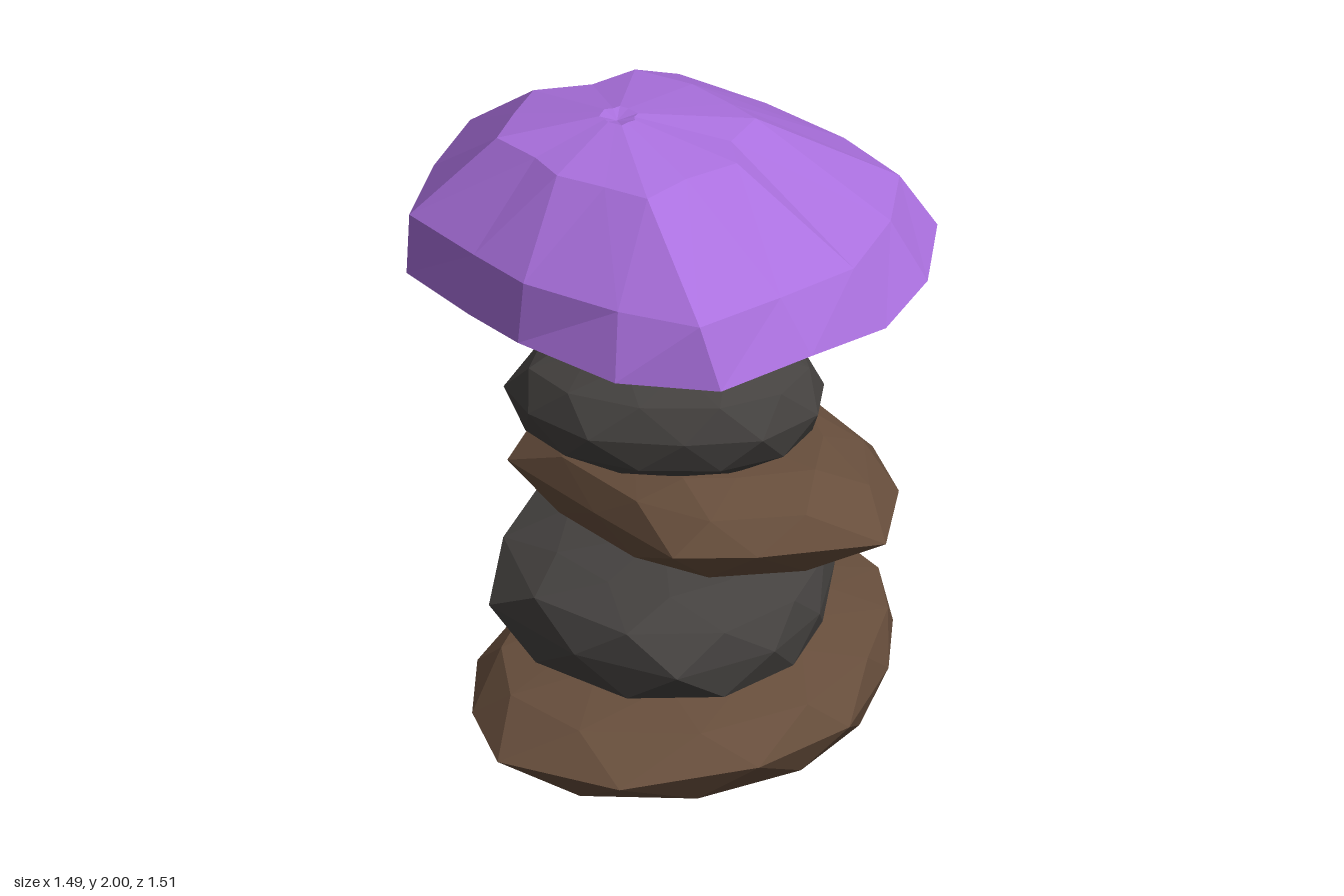
import * as THREE from 'three';

const mat = (name, color) => Object.assign(new THREE.MeshStandardMaterial({ color }), { name });

// Faceted skin through rings of equal point count (listed bottom to top);
// triangles collapsed at a pole are dropped.
function loft(rings) {
  const pos = [];
  const tri = (a, b, c) => {
    if (a.distanceTo(b) < 1e-6 || b.distanceTo(c) < 1e-6 || c.distanceTo(a) < 1e-6) return;
    pos.push(...a.toArray(), ...b.toArray(), ...c.toArray());
  };
  for (let k = 0; k < rings.length - 1; k++) {
    const a = rings[k], b = rings[k + 1], n = a.length;
    for (let i = 0; i < n; i++) {
      const j = (i + 1) % n;
      tri(a[i], b[i], a[j]);
      tri(b[i], b[j], a[j]);
    }
  }
  const geo = new THREE.BufferGeometry();
  geo.setAttribute('position', new THREE.Float32BufferAttribute(pos, 3));
  geo.computeVertexNormals();
  return geo;
}

const ring = (outline, y) => outline.map(([x, z]) => new THREE.Vector3(x, y, z));
const shrink = (outline, s, cx, cz) => outline.map(([x, z]) => [cx + (x - cx) * s, cz + (z - cz) * s]);

// Stone: its widest outline, scaled and shifted at each level [y, scale, dx, dz];
// neighbouring levels are twisted by half a step so the sides break into triangles.
function stone(outline, levels) {
  const n = outline.length, widest = levels.findIndex(l => l[1] === 1);
  const cx = outline.reduce((s, p) => s + p[0], 0) / n;
  const cz = outline.reduce((s, p) => s + p[1], 0) / n;
  return loft(levels.map(([y, s, dx = 0, dz = 0], k) => {
    const t = (k - widest) / 2, base = Math.floor(t), f = t - base;
    return outline.map((_, i) => {
      const p = outline[(i + base + n) % n], q = outline[(i + base + 1 + n) % n];
      const x = p[0] + (q[0] - p[0]) * f, z = p[1] + (q[1] - p[1]) * f;
      return new THREE.Vector3(cx + dx + (x - cx) * s, y, cz + dz + (z - cz) * s);
    });
  }));
}

export function createModel() {
  const model = new THREE.Group();
  const brown = mat('brown stone', 0x674e3c);
  const dark = mat('dark stone', 0x454240);
  const purple = mat('purple cap', 0xaa70de);
  const grey = mat('grey stem', 0x6f626f);
  const add = (name, geo, material) => {
    const mesh = new THREE.Mesh(geo, material);
    mesh.name = name;
    model.add(mesh);
    return mesh;
  };

  // Four stacked stones, bottom to top
  add('bottomStone', stone(
    [[-0.12, 0.62], [-0.35, 0.41], [-0.47, 0.1], [-0.47, -0.3], [-0.35, -0.72], [0, -0.74],
      [0.22, -0.65], [0.43, -0.46], [0.63, -0.15], [0.65, 0.2], [0.5, 0.59], [0.15, 0.75]],
    [[0, 0], [0.02, 0.5, 0.03, -0.02], [0.08, 0.9, 0, -0.03], [0.19, 1],
      [0.29, 0.93, -0.01, -0.05], [0.335, 0.58, 0, -0.07], [0.36, 0]]), brown);

  add('lowerDarkStone', stone(
    [[0.6, 0.1], [0.55, 0.42], [0.25, 0.55], [-0.13, 0.55], [-0.43, 0.22], [-0.5, -0.05],
      [-0.36, -0.3], [-0.05, -0.4], [0.3, -0.37], [0.51, -0.14]],
    [[0.33, 0], [0.345, 0.65], [0.4, 0.97], [0.51, 1], [0.61, 0.98], [0.665, 0.6, 0.02, 0.03],
      [0.7, 0, 0.05, 0.06]]), dark);

  add('upperBrownStone', stone(
    [[0.72, -0.21], [0.55, 0.12], [0.4, 0.31], [0.05, 0.31], [-0.35, 0.3], [-0.46, 0.1],
      [-0.47, -0.15], [-0.3, -0.38], [-0.05, -0.53], [0.25, -0.55], [0.5, -0.44]],
    [[0.62, 0, 0, -0.06], [0.65, 0.56, -0.02, -0.04], [0.7, 0.91, -0.03, 0], [0.8, 1],
      [0.89, 0.9, -0.01, 0.01], [0.945, 0.62, -0.02, 0], [0.97, 0, 0, 0.05]]), brown);

  add('topDarkStone', stone(
    [[0.45, 0.02], [0.33, 0.21], [0.13, 0.4], [-0.1, 0.43], [-0.27, 0.38], [-0.35, 0.1],
      [-0.28, -0.17], [-0.12, -0.33], [0.13, -0.36], [0.3, -0.33], [0.43, -0.2]],
    [[0.92, 0], [0.935, 0.64], [1, 0.94], [1.1, 1], [1.2, 0.92], [1.27, 0.58], [1.29, 0]]), dark);

  // Short stem, leaning slightly and pinched just below the cap
  const stemProfile = [[0.1, 1.24], [0.09, 1.3], [0.1, 1.385], [0.07, 1.41], [0.055, 1.425], [0.1, 1.46]]
    .map(p => new THREE.Vector2(...p));
  const stemGeo = new THREE.LatheGeometry(stemProfile, 8).toNonIndexed();
  const at = stemGeo.attributes.position;
  for (let i = 0; i < at.count; i++) at.setZ(i, at.getZ(i) + (at.getY(i) - 1.32) * 0.2);
  stemGeo.computeVertexNormals();
  add('stem', stemGeo, grey).position.set(0.04, 0, 0.095);

  // Mushroom cap: rim, upper edge and shoulder outlines
  const rim = [[0.05, -0.76], [0.37, -0.69], [0.58, -0.48], [0.72, -0.21], [0.74, 0.08],
    [0.71, 0.39], [0.48, 0.59], [0.12, 0.65], [-0.1, 0.65], [-0.4, 0.63], [-0.61, 0.39],
    [-0.75, 0.1], [-0.6, -0.2], [-0.58, -0.56], [-0.27, -0.66]];
  const upper = [[0.04, -0.62], [0.31, -0.6], [0.5, -0.41], [0.65, -0.15], [0.65, 0.12],
    [0.64, 0.41], [0.42, 0.53], [0.12, 0.63], [-0.1, 0.63], [-0.4, 0.62], [-0.58, 0.38],
    [-0.72, 0.13], [-0.55, -0.13], [-0.55, -0.5], [-0.26, -0.58]];
  const shoulder = [[0.03, -0.21], [0.14, -0.21], [0.2, -0.07], [0.31, 0], [0.29, 0.17],
    [0.31, 0.33], [0.18, 0.38], [0.04, 0.44], [-0.08, 0.42], [-0.24, 0.43], [-0.32, 0.3],
    [-0.39, 0.17], [-0.31, 0.02], [-0.3, -0.13], [-0.13, -0.2]];
  const rimRing = ring(rim, 1.5);
  for (const p of rimRing) if (p.z < -0.5 || Math.abs(p.x) > 0.73) p.y = 1.52;
  add('cap', loft([
    ring(shrink(rim, 0, 0, 0), 1.448), ring(shrink(rim, 0.5, 0, 0), 1.46),
    ring(shrink(rim, 0.94, 0, 0), 1.49), rimRing, ring(upper, 1.685), ring(shoulder, 1.935),
    ring(shrink(shoulder, 0.15, -0.03, 0.16), 2), ring(shrink(shoulder, 0, -0.03, 0.16), 1.985),
  ]), purple);

  return model;
}
